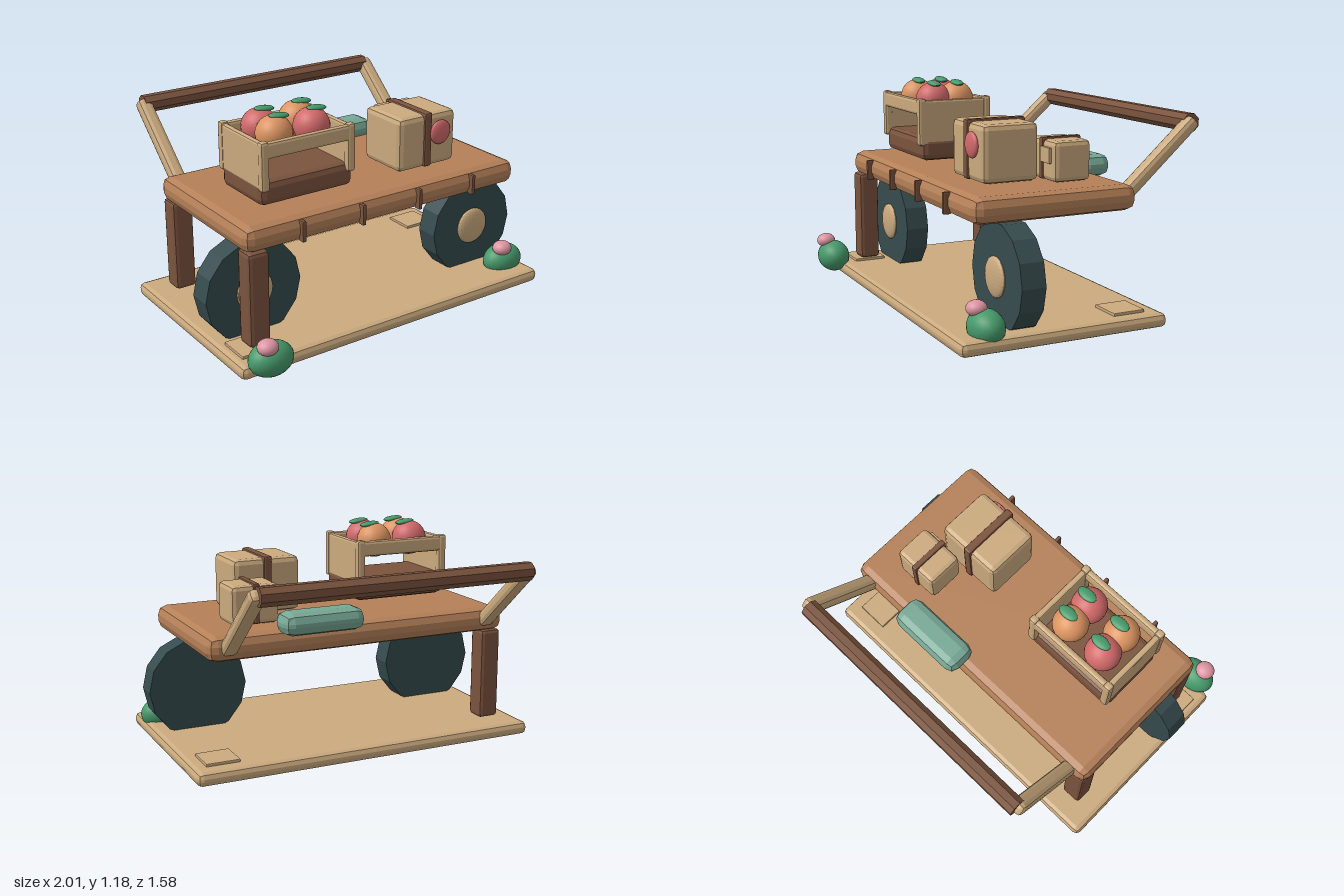
import * as THREE from 'three';
import { RoundedBoxGeometry } from 'three/addons/geometries/RoundedBoxGeometry.js';

function material(name, color, flat = true) {
  const m = new THREE.MeshStandardMaterial({ color });
  m.name = name;
  m.flatShading = flat;
  return m;
}

export function createModel() {
  const root = new THREE.Group();
  root.name = 'marketCart';

  const tan = material('pale wood', 0xcbaa7e);
  const deckWood = material('deck wood', 0xb58058);
  const dark = material('dark wood', 0x7b543e);
  const rubber = material('wheel rubber', 0x364b4e);
  const teal = material('teal cloth', 0x78a896);
  const red = material('red', 0xd2696a, false);
  const orange = material('orange', 0xdc9460, false);
  const green = material('leaf green', 0x46996a, false);
  const pink = material('blossom pink', 0xdd95a2, false);

  const add = (name, geometry, mat, x, y, z, parent = root) => {
    const mesh = new THREE.Mesh(geometry, mat);
    mesh.name = name;
    mesh.position.set(x, y, z);
    parent.add(mesh);
    return mesh;
  };

  // Chamfered box given by its min and max on each axis
  const box = (name, mat, [x0, x1], [y0, y1], [z0, z1], r, parent = root) =>
    add(name, new RoundedBoxGeometry(x1 - x0, y1 - y0, z1 - z0, 1, r), mat,
      (x0 + x1) / 2, (y0 + y1) / 2, (z0 + z1) / 2, parent);

  const ball = (name, mat, x, y, z, rx, ry, rz, parent = root) => {
    const mesh = add(name, new THREE.SphereGeometry(1, 24, 16), mat, x, y, z, parent);
    mesh.scale.set(rx, ry, rz);
    return mesh;
  };

  const group = (name) => {
    const g = new THREE.Group();
    g.name = name;
    root.add(g);
    return g;
  };

  // Base board with two corner pads
  box('baseBoard', tan, [-0.98, 0.98], [0.01, 0.085], [-0.48, 0.67], 0.03);
  box('cornerPad', tan, [-0.93, -0.74], [0.075, 0.1], [0.405, 0.585], 0.004);
  box('cornerPad', tan, [0.72, 0.905], [0.075, 0.1], [-0.385, -0.205], 0.004);

  // Deck and its front clips
  box('deck', deckWood, [-0.87, 0.865], [0.605, 0.74], [-0.36, 0.548], 0.05);
  for (const x of [-0.55, -0.185, 0.18, 0.545])
    box('deckClip', dark, [x - 0.011, x + 0.011], [0.612, 0.725], [0.53, 0.572], 0.006);

  // Legs on one side only
  for (const z of [0.492, -0.292])
    box('leg', dark, [-0.86, -0.74], [0.1, 0.612], [z - 0.058, z + 0.058], 0.02);

  // Wheels with domed hubs
  for (const s of [-1, 1]) {
    const wheel = group('wheel');
    const tyre = add('tyre', new THREE.CylinderGeometry(0.279, 0.279, 0.13, 14), rubber,
      s * 0.727, 0.315, 0.303, wheel);
    tyre.rotation.set(Math.PI / 2, Math.PI / 14, 0);
    ball('hub', tan, s * 0.725, 0.315, 0.373, 0.105, 0.105, 0.027, wheel);
  }

  // Push handle: two sloping arms and a cross bar
  const low = new THREE.Vector2(-0.34, 0.67), high = new THREE.Vector2(-0.745, 1.025);
  for (const s of [-1, 1]) {
    const length = low.distanceTo(high);
    const arm = add('handleArm', new RoundedBoxGeometry(0.082, length + 0.03, 0.075, 1, 0.025), tan,
      s * 0.757, (low.y + high.y) / 2, (low.x + high.x) / 2);
    arm.rotation.x = Math.atan2(high.x - low.x, high.y - low.y);
  }
  const bar = add('handleBar', new THREE.CylinderGeometry(0.051, 0.051, 1.515, 8), dark, -0.002, 1.018, -0.747);
  bar.rotation.set(Math.PI / 8, 0, Math.PI / 2);

  // Fruit crate: dark tray, solid ends, open front and back
  const crate = group('fruitCrate');
  box('crateTray', dark, [-0.69, -0.133], [0.765, 0.895], [0, 0.395], 0.035, crate);
  for (const x of [-0.67, -0.155]) {
    box('crateEnd', tan, [x - 0.018, x + 0.018], [0.85, 1.1], [0, 0.39], 0.012, crate);
    for (const z of [0.003, 0.392])
      box('cratePost', tan, [x - 0.024, x + 0.024], [0.85, 1.11], [z - 0.023, z + 0.023], 0.014, crate);
  }
  for (const z of [0.003, 0.392])
    box('crateRail', tan, [-0.69, -0.135], [1.018, 1.103], [z - 0.02, z + 0.02], 0.015, crate);

  // Four fruits with a leaf each
  [[-0.525, 0.12, red], [-0.3, 0.12, orange], [-0.525, 0.26, orange], [-0.3, 0.26, red]].forEach(([x, z, mat]) => {
    ball('fruit', mat, x, 1.087, z, 0.097, 0.097, 0.097, crate);
    ball('fruitLeaf', green, x + 0.027, 1.178, z + 0.005, 0.058, 0.015, 0.032, crate).rotation.z = -0.1;
  });

  // Large parcel with strap and seal
  const large = group('largeParcel');
  box('parcelBox', tan, [0.19, 0.575], [0.745, 1.045], [0.05, 0.365], 0.03, large);
  box('parcelStrap', dark, [0.355, 0.405], [0.75, 1.056], [0.04, 0.376], 0.012, large);
  ball('parcelSeal', red, 0.46, 0.935, 0.375, 0.068, 0.068, 0.022, large);

  // Small parcel with strap and tag
  const small = group('smallParcel');
  box('parcelBox', tan, [0.413, 0.68], [0.745, 0.955], [-0.192, 0.018], 0.025, small);
  box('parcelStrap', dark, [0.526, 0.56], [0.75, 0.964], [-0.2, 0.027], 0.008, small);
  box('parcelTag', tan, [0.545, 0.645], [0.84, 0.92], [0.012, 0.033], 0.004, small);

  // Rolled cloth bundle overhanging the back edge
  box('clothBundle', teal, [0.025, 0.48], [0.715, 0.835], [-0.44, -0.26], 0.05);

  // Bushes with a blossom on top
  for (const [x, z] of [[-0.835, 0.695], [0.865, 0.49]]) {
    ball('bush', green, x, 0.115, z, 0.122, 0.091, 0.09);
    ball('blossom', pink, x - 0.036, 0.204, z + 0.033, 0.055, 0.041, 0.053);
  }

  return root;
}
